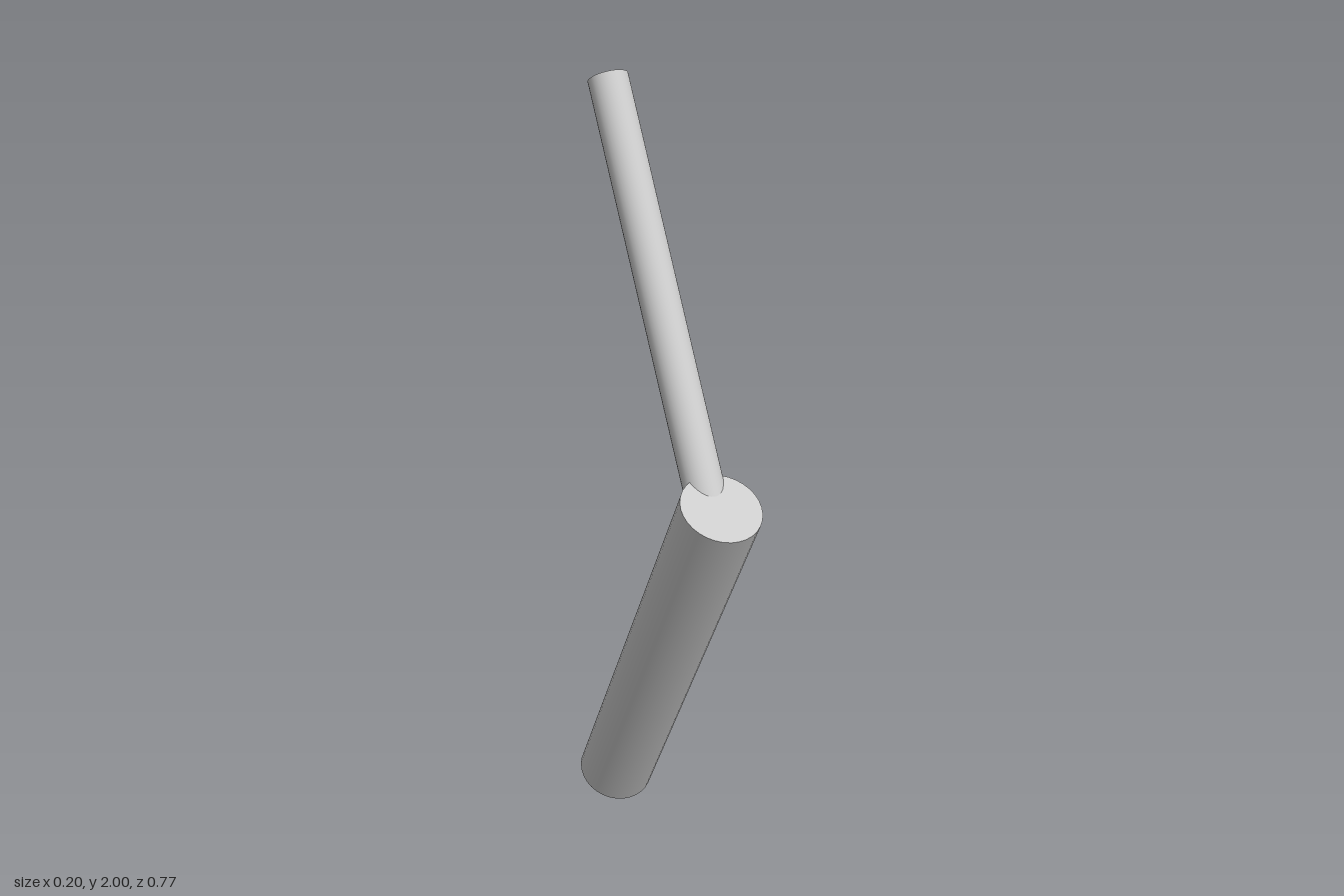
import * as THREE from 'three';

const LENGTH = 1.19;
const TILT = Math.PI / 6;

// Closed round rod, centred at height y and leaning by tilt about x
function rod(name, radius, y, tilt, material) {
  const mesh = new THREE.Mesh(new THREE.CylinderGeometry(radius, radius, LENGTH, 32), material);
  mesh.name = name;
  mesh.position.y = y;
  mesh.rotation.x = tilt;
  return mesh;
}

export function createModel() {
  const model = new THREE.Group();
  model.name = 'bentArm';
  const material = new THREE.MeshStandardMaterial({ color: 0xcccccc });

  // Thick lower segment leans forward, thin upper one leans back from inside its top
  model.add(rod('lowerSegment', 0.1, 0.565, TILT, material));
  model.add(rod('upperSegment', 0.05, 1.46, -TILT, material));
  return model;
}
